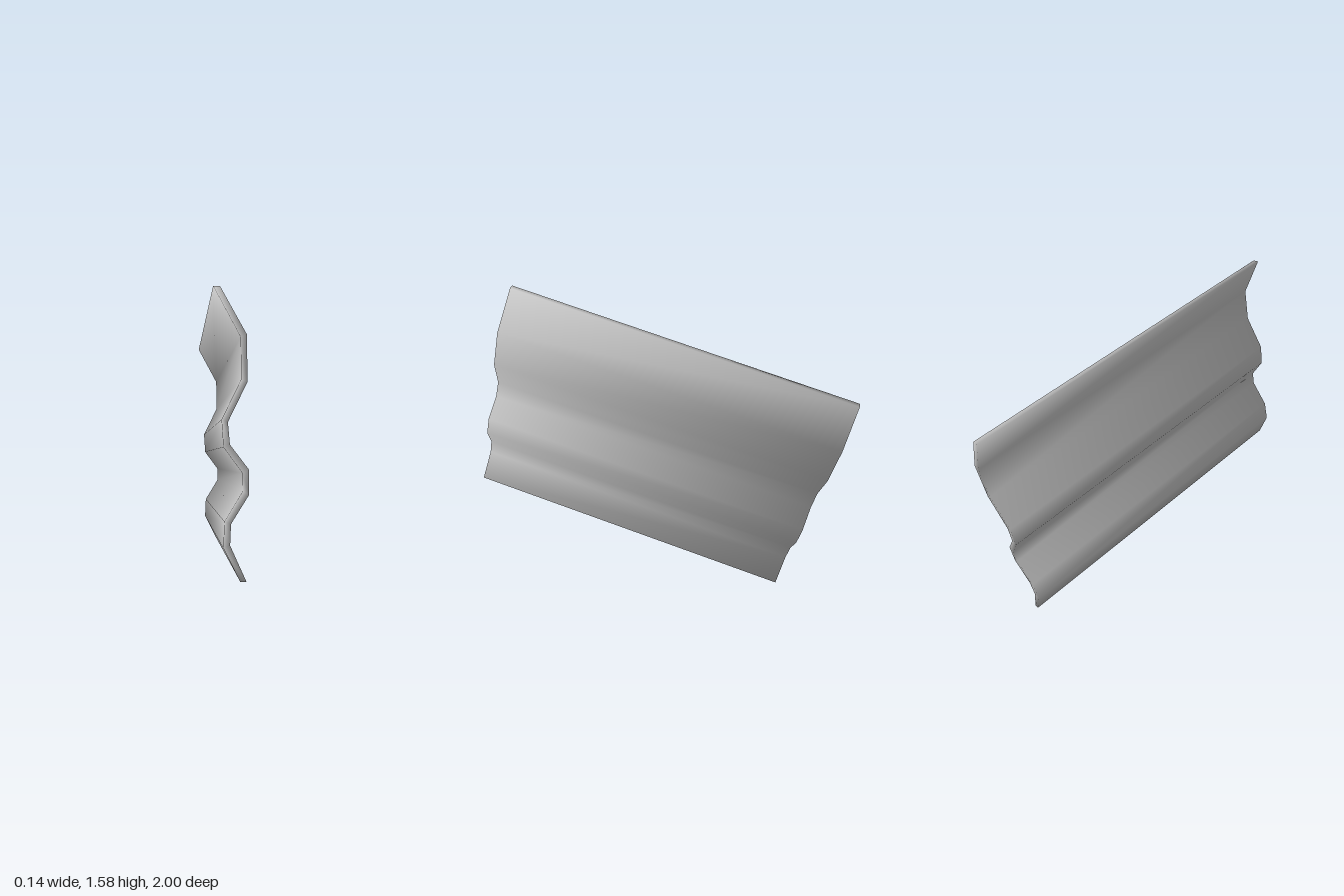
import * as THREE from 'three';

// Cross-section of the corrugated sheet, bottom to top: [x, y] on each face.
const RIGHT = [
  [0.05, 0.395], [-0.015, 0.54], [-0.01, 0.625], [0.066, 0.74], [0.066, 0.84],
  [-0.01, 0.94], [-0.017, 1.03], [0.066, 1.19], [0.066, 1.38], [-0.042, 1.575],
];
const LEFT = [
  [0.025, 0.395], [-0.043, 0.53], [-0.037, 0.635], [0.04, 0.755], [0.04, 0.825],
  [-0.037, 0.93], [-0.043, 1.04], [0.04, 1.2], [0.04, 1.37], [-0.07, 1.575],
];
const LENGTH = 1.775;
const TILT = 0.2245;

function corrugatedSheet() {
  // Closed outline, counter-clockwise seen from the front, centred on the sheet
  const loop = [...RIGHT, ...[...LEFT].reverse()].map(
    ([x, y]) => new THREE.Vector2(x, (y - 0.985) / Math.cos(TILT)));
  const n = loop.length;
  const half = n / 2;
  const edgeNormal = (a, b) => new THREE.Vector2(b.y - a.y, a.x - b.x).normalize();

  // Both ends share soft normals with the end faces
  const positions = [];
  const normals = [];
  for (const end of [1, -1]) {
    loop.forEach((p, i) => {
      const side = edgeNormal(loop[(i + n - 1) % n], p)
        .add(edgeNormal(p, loop[(i + 1) % n]));
      const corner = i % half === 0 || i % half === half - 1;
      const normal = new THREE.Vector3(side.x, side.y, end * (corner ? 1 : 2)).normalize();
      positions.push(p.x, p.y, end * LENGTH / 2);
      normals.push(normal.x, normal.y, normal.z);
    });
  }

  const index = [];
  // Long faces
  for (let i = 0; i < n; i++) {
    const j = (i + 1) % n;
    index.push(i, i + n, j + n, i, j + n, j);
  }
  // End faces
  for (let k = 0; k < half - 1; k++) {
    const a = k, b = k + 1, c = n - 2 - k, d = n - 1 - k;
    index.push(a, b, c, a, c, d);
    index.push(a + n, c + n, b + n, a + n, d + n, c + n);
  }

  const geometry = new THREE.BufferGeometry();
  geometry.setAttribute('position', new THREE.Float32BufferAttribute(positions, 3));
  geometry.setAttribute('normal', new THREE.Float32BufferAttribute(normals, 3));
  geometry.setIndex(index);
  return geometry;
}

export function createModel() {
  const model = new THREE.Group();
  model.name = 'corrugatedPanel';

  const metal = new THREE.MeshStandardMaterial({ color: 0xc0c0c0 });
  metal.name = 'light grey metal';

  // Sheet, leaning down toward the back
  const sheet = new THREE.Mesh(corrugatedSheet(), metal);
  sheet.name = 'corrugatedSheet';
  sheet.rotation.x = -TILT;
  sheet.position.y = 0.7875;
  model.add(sheet);

  return model;
}
